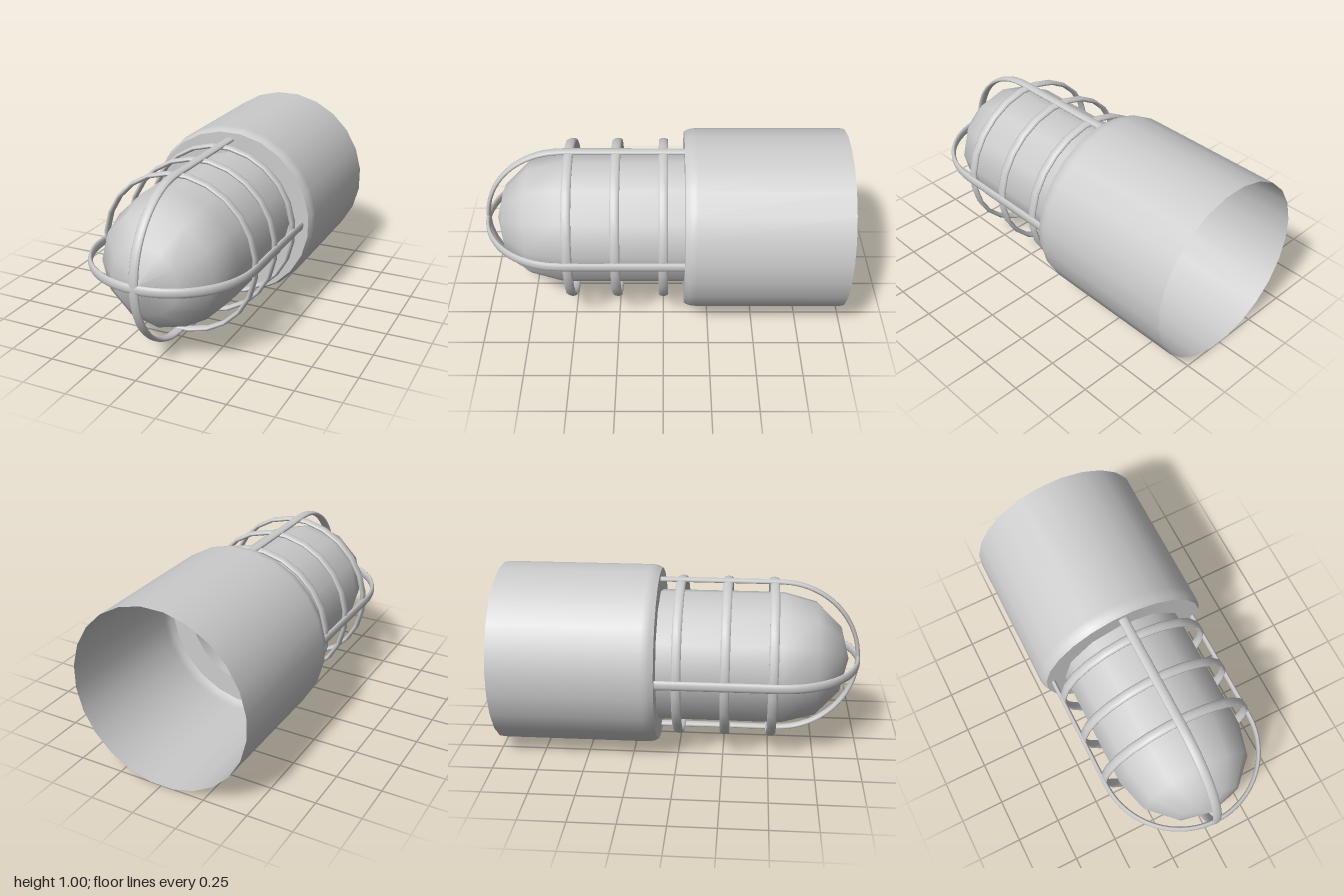
import * as THREE from 'three';

const material = new THREE.MeshStandardMaterial({ color: 0xcccccc, side: THREE.DoubleSide });
const FACE_Z = -0.115;        // plane of the housing's front face
const STEP = Math.PI / 12;    // one side of a 24-sided circle

export function createModel() {
  const model = new THREE.Group();

  const add = (name, geometry) => {
    const mesh = new THREE.Mesh(geometry, material);
    mesh.name = name;
    model.add(mesh);
    return mesh;
  };
  // Revolve [radius, z] points about the z axis
  const revolve = (points, sides, start = 0) =>
    new THREE.LatheGeometry(points.map(([r, z]) => new THREE.Vector2(r, z)), sides, start).rotateX(Math.PI / 2);

  // Housing: open-backed sleeve with a rounded front edge
  add('housing', revolve([
    [0.504, -1], [0.504, -0.18], [0.502, -0.158], [0.497, -0.138], [0.485, FACE_Z],
  ], 24, STEP / 2));

  // Flat front face around the lens
  add('housingFace', new THREE.RingGeometry(0.356, 0.485, 24, 1, STEP / 2).translate(0, 0, FACE_Z));

  // Lens: cylinder ending in a coarse hemisphere
  const lens = [[0.37, FACE_Z]];
  for (let i = 0; i <= 3; i++) {
    const a = (i * Math.PI) / 6;
    lens.push([0.37 * Math.cos(a), 0.568 + 0.37 * Math.sin(a)]);
  }
  add('lens', revolve(lens, 12));

  // Guard hoops: flattened wire rings
  for (const z of [0, 0.257, 0.512]) {
    add('guardHoop', new THREE.TorusGeometry(0.436, 0.0125, 10, 24)
      .rotateZ(STEP / 2).scale(1, 1, 2.15).translate(0, 0, z));
  }

  // Guard bars: two crossing U-shaped flattened wires
  const R = 0.442, bend = 0.546;
  const path = [];
  for (let i = 0; i < 6; i++) path.push(new THREE.Vector3(R, 0, FACE_Z + (bend - FACE_Z) * i / 6));
  for (let i = 0; i <= 16; i++) {
    const a = (i * Math.PI) / 16;
    path.push(new THREE.Vector3(R * Math.cos(a), 0, bend + R * Math.sin(a)));
  }
  for (let i = 5; i >= 0; i--) path.push(new THREE.Vector3(-R, 0, path[i].z));
  const curve = new THREE.CatmullRomCurve3(path);
  for (const turn of [0, Math.PI / 2]) {
    add('guardBar', new THREE.TubeGeometry(curve, 64, 0.0125, 10)
      .scale(1, 2.15, 1).rotateZ(turn));
  }

  for (const part of model.children) part.position.y = 0.5;
  return model;
}
